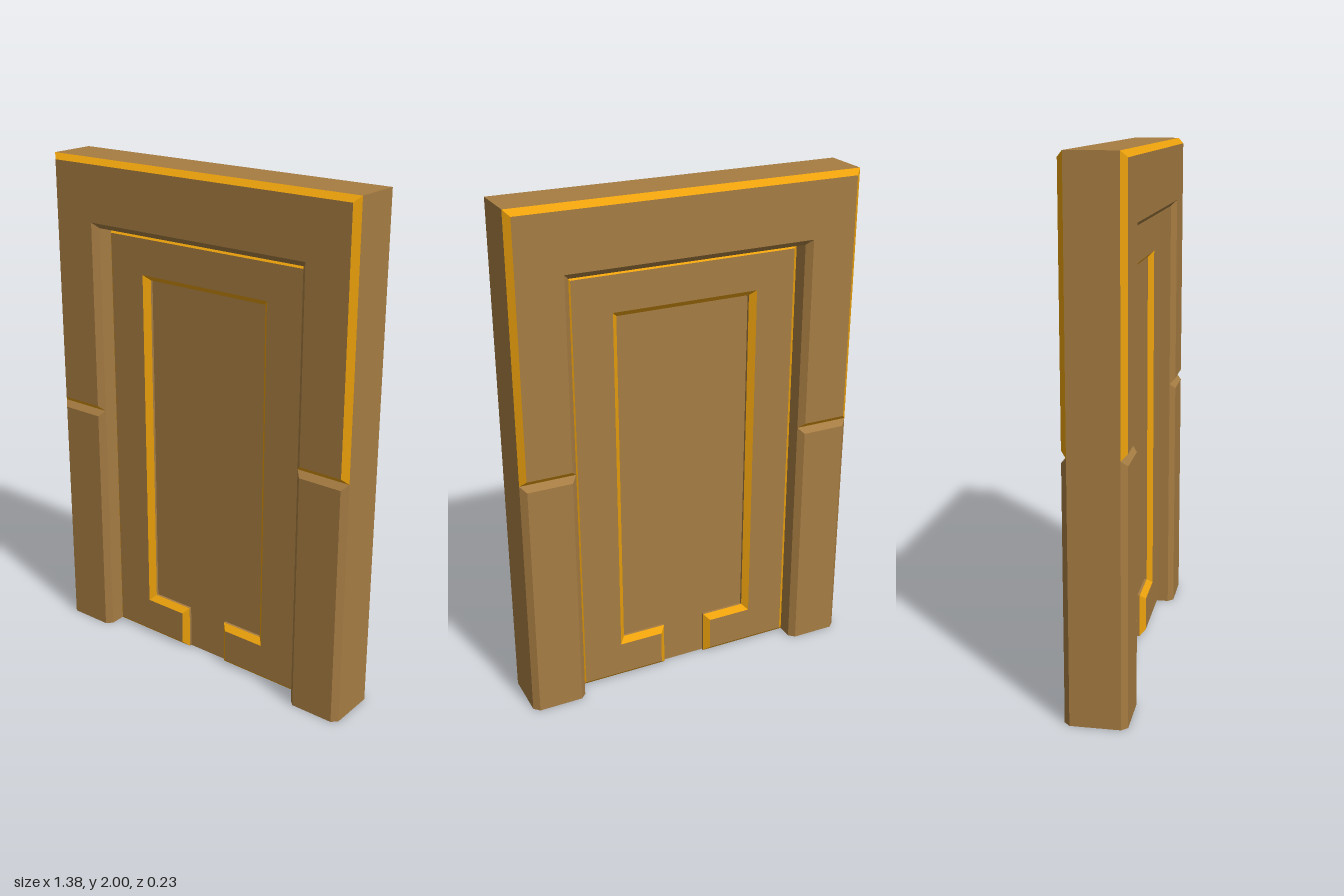
import * as THREE from 'three';

const wood = new THREE.MeshStandardMaterial({ color: 0xa67c42 });
const gold = new THREE.MeshStandardMaterial({ color: 0xeda20c });
const BEVEL = 0.022;

// Move every edge of a counter-clockwise outline inward by its own amount.
function insetOutline(points, insets) {
  const n = points.length;
  const normal = (i) => {
    const d = points[(i + 1) % n].clone().sub(points[i]).normalize();
    return new THREE.Vector2(-d.y, d.x);
  };
  // All outlines are right-angled, so the two edge offsets simply add up.
  return points.map((p, i) => {
    const prev = (i + n - 1) % n;
    return p.clone().addScaledVector(normal(prev), insets[prev]).addScaledVector(normal(i), insets[i]);
  });
}

function flatMesh(name, positions, material) {
  const geometry = new THREE.BufferGeometry();
  geometry.setAttribute('position', new THREE.Float32BufferAttribute(positions, 3));
  geometry.computeVertexNormals();
  const mesh = new THREE.Mesh(geometry, material);
  mesh.name = name;
  return mesh;
}

// Slab with straight sides, a chamfer and a flat face; edges listed in goldEdges get gilded chamfers.
function bevelledSlab(name, coords, { back, face, goldEdges = [], plainEdges = [] }) {
  const outer = coords.map(([x, y]) => new THREE.Vector2(x, y));
  const inner = insetOutline(outer, coords.map((_, i) => (plainEdges.includes(i) ? 0 : BEVEL)));
  const edge = face - BEVEL;
  const body = [], trim = [];
  const quad = (out, a, b, c, d) => out.push(...a, ...b, ...c, ...a, ...c, ...d);

  outer.forEach((p, i) => {
    const j = (i + 1) % outer.length, q = outer[j];
    const low = [p.x, p.y, edge], high = [q.x, q.y, edge];
    quad(body, [p.x, p.y, back], [q.x, q.y, back], high, low);
    quad(goldEdges.includes(i) ? trim : body, low, high,
      [inner[j].x, inner[j].y, face], [inner[i].x, inner[i].y, face]);
  });
  for (const tri of THREE.ShapeUtils.triangulateShape(inner, [])) {
    for (const k of tri) body.push(inner[k].x, inner[k].y, face);
  }

  const group = new THREE.Group();
  group.name = name;
  group.add(flatMesh(name + 'Body', body, wood));
  if (trim.length) group.add(flatMesh(name + 'Trim', trim, gold));
  return group;
}

export function createModel() {
  const model = new THREE.Group();
  model.name = 'door';

  const W = 0.69, J = 0.47, SPLIT = 0.987, LINTEL = 1.735, FACE = 0.115;
  const PANEL = 0.02, LEAF = 0.052;

  // Both sides of the door are alike: the second is the first turned half round.
  for (const side of ['front', 'back']) {
    const half = new THREE.Group();
    half.name = side + 'Side';
    if (side === 'back') half.rotation.y = Math.PI;

    // Upper frame with lintel
    half.add(bevelledSlab('upperFrame', [
      [-W, SPLIT], [-J, SPLIT], [-J, LINTEL], [J, LINTEL],
      [J, SPLIT], [W, SPLIT], [W, 2], [-W, 2],
    ], { back: 0, face: FACE, goldEdges: [0, 4, 5, 6, 7] }));

    // Lower posts, flat on the ground
    for (const [name, x0, x1] of [['leftPost', J, W], ['rightPost', -W, -J]]) {
      half.add(bevelledSlab(name, [[x0, 0], [x1, 0], [x1, SPLIT], [x0, SPLIT]],
        { back: 0, face: FACE, plainEdges: [0] }));
    }

    // Raised border of the door leaf, open at the bottom centre
    const border = [[0.09, 0], [J, 0], [J, LINTEL], [-J, LINTEL], [-J, 0], [-0.09, 0],
      [-0.09, 0.18], [-0.27, 0.18], [-0.27, 1.55], [0.27, 1.55], [0.27, 0.18], [0.09, 0.18]];
    half.add(bevelledSlab('leafBorder', border,
      { back: PANEL, face: LEAF, goldEdges: border.map((_, i) => i) }));

    model.add(half);
  }

  // Recessed panel shared by both sides
  const panel = new THREE.Mesh(new THREE.BoxGeometry(2 * J, LINTEL, 2 * PANEL), wood);
  panel.name = 'leafPanel';
  panel.position.y = LINTEL / 2;
  model.add(panel);

  return model;
}
